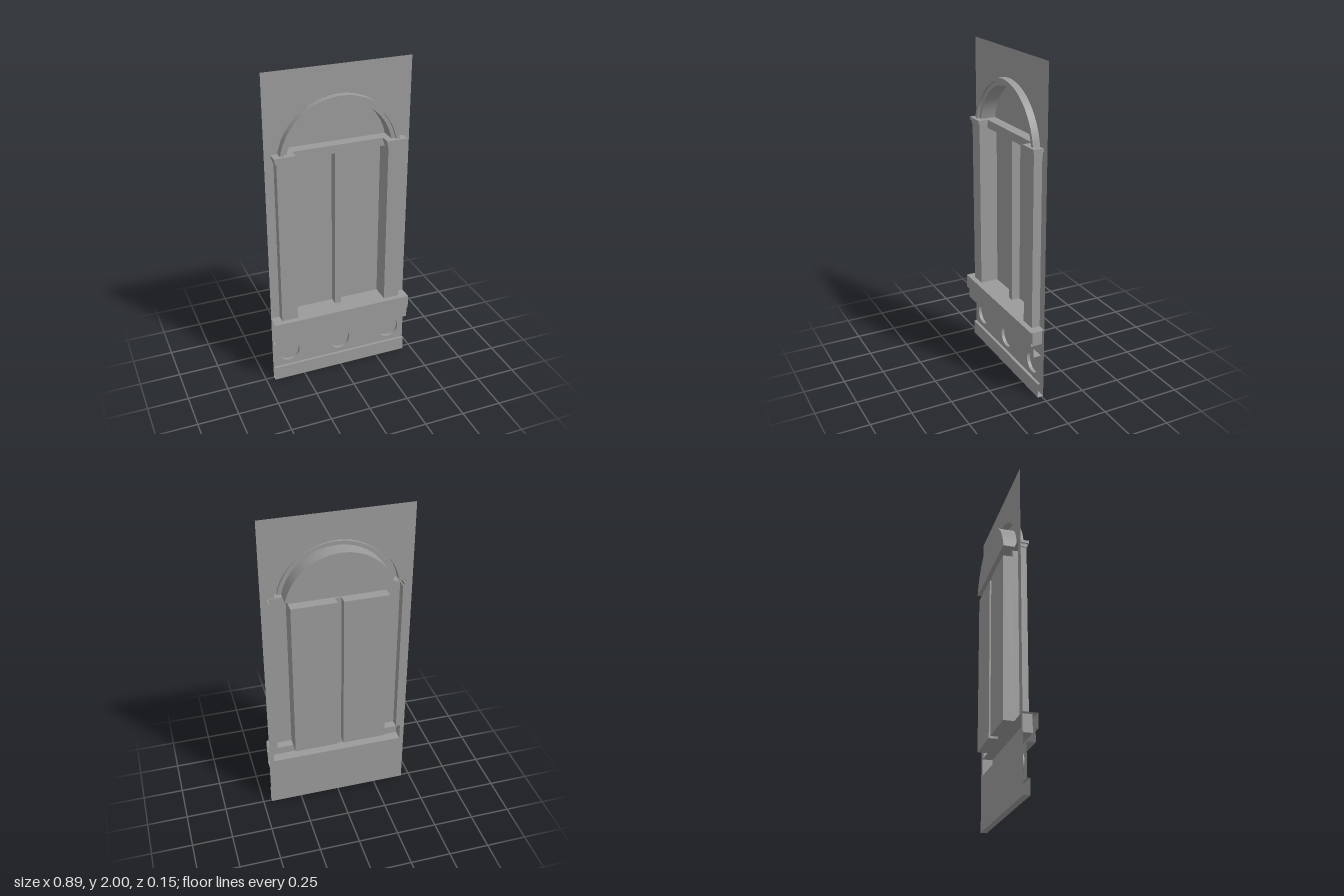
import * as THREE from 'three';
import { toCreasedNormals } from 'three/addons/utils/BufferGeometryUtils.js';

const W = 0.445;      // half width of the panel
const BACK = -0.01;   // wall plane
const SILL = 0.445;   // top of the lower ledge
const HEAD = 1.475;   // top of the door recess
const NECK = 1.485;   // foot of the capitals
const SLAB = 1.507;   // underside of the capital slabs
const SPRING = 1.525; // foot of the arch
const ARCH_Y = 1.46;  // centre of the arch circles

const material = new THREE.MeshStandardMaterial({ color: 0x9a9a9a, side: THREE.DoubleSide });

// Surface through a list of open cross-sections
function loft(rings) {
  const pos = [];
  for (let r = 0; r < rings.length - 1; r++) {
    const A = rings[r], B = rings[r + 1];
    for (let i = 0; i < A.length - 1; i++) {
      pos.push(...A[i], ...A[i + 1], ...B[i + 1], ...A[i], ...B[i + 1], ...B[i]);
    }
  }
  const g = new THREE.BufferGeometry();
  g.setAttribute('position', new THREE.Float32BufferAttribute(pos, 3));
  g.computeVertexNormals();
  return toCreasedNormals(g, 0.5);
}

// Plan outline [x, z] raised from y0 to y1
const upright = (plan, y0, y1) => loft([y0, y1].map(y => plan.map(([x, z]) => [x, y, z])));
// Section [z, y] run across the full width
const across = section => loft([-W, W].map(x => section.map(([z, y]) => [x, y, z])));
// Three-sided plan, open to the back
const bay = (x0, x1, z) => [[x0, BACK], [x0, z], [x1, z], [x1, BACK]];

const polygon = pts => new THREE.Shape(pts.map(p => new THREE.Vector2(...p)));
const rect = (x0, y0, x1, y1) => polygon([[x0, y0], [x1, y0], [x1, y1], [x0, y1]]);

// Angle at which a circle of radius r meets the springing line
const footAngle = r => Math.asin((SPRING - ARCH_Y) / r);
function archShape(r) {
  const s = new THREE.Shape();
  const a = footAngle(r);
  s.absarc(0, ARCH_Y, r, a, Math.PI - a, false);
  s.closePath();
  return s;
}

export function createModel() {
  const group = new THREE.Group();
  const add = (name, geometry, x = 0, y = 0, z = 0) => {
    const m = new THREE.Mesh(geometry, material);
    m.name = name;
    m.position.set(x, y, z);
    group.add(m);
  };
  // Level plate covering a plan outline [x, z]
  const plate = (name, plan, y) => {
    const g = new THREE.ShapeGeometry(polygon(plan.map(([x, z]) => [x, -z])));
    add(name, g.rotateX(-Math.PI / 2), 0, y, 0);
  };

  // Wall, open behind the hollow arch, capitals, pilasters, doors and pedestal
  const top = SPRING - 0.001;
  const rightEdge = [
    [0.418, 0.34], [0.418, SILL], [0.39, SILL], [0.39, NECK], [0.397, NECK], [0.397, SLAB], [0.406, SLAB],
    [0.406, top], [0.278, top], [0.278, SLAB], [0.285, SLAB], [0.285, NECK], [0.29, NECK], [0.29, HEAD],
  ];
  const leftEdge = rightEdge.map(([x, y]) => [-x, y]).reverse();
  const wall = rect(-W, 0, W, 2);
  wall.holes.push(archShape(0.371), polygon([...rightEdge, ...leftEdge]));
  add('wall', new THREE.ShapeGeometry(wall, 24), 0, 0, BACK);

  // Stepped arch moulding running back into the niche
  const section = [[0.371, BACK], [0.371, 0.034], [0.349, 0.034], [0.349, 0.017], [0.326, 0.017], [0.326, -0.078]];
  const rings = [];
  const steps = 32;
  for (let i = 0; i <= steps; i++) {
    rings.push(section.map(([r, z]) => {
      const a = footAngle(r);
      const t = Math.PI - a - (i / steps) * (Math.PI - 2 * a);
      return [r * Math.cos(t), ARCH_Y + r * Math.sin(t), z];
    }));
  }
  add('archMoulding', loft(rings));
  add('nicheBack', new THREE.ShapeGeometry(archShape(0.326), 24), 0, 0, -0.078);
  plate('nicheSill', [[-0.319, -0.078], [0.319, -0.078], [0.319, BACK], [-0.319, BACK]], SPRING);

  // Door recess with a hollow centre mullion
  const doorPlan = [
    [-0.29, BACK], [-0.29, -0.073], [-0.019, -0.073], [-0.019, -0.02],
    [0.019, -0.02], [0.019, -0.073], [0.29, -0.073], [0.29, BACK],
  ];
  add('doorRecess', upright(doorPlan, SILL, HEAD));
  plate('doorHead', doorPlan, HEAD);
  plate('doorSill', doorPlan, SILL);

  // Hollow pilasters with two-step capitals
  for (const s of [-1, 1]) {
    const plan = (inner, outer, z) => s > 0 ? bay(inner, outer, z) : bay(-outer, -inner, z);
    const shaft = plan(0.29, 0.39, 0.042);
    const neck = plan(0.285, 0.397, 0.046);
    const slab = plan(0.278, 0.406, 0.053);
    add('pilaster', upright(shaft, SILL, NECK));
    add('capitalNeck', upright(neck, NECK, SLAB));
    add('capitalSlab', upright(slab, SLAB, SPRING));
    plate('neckUnderside', [...neck, ...shaft.slice().reverse()], NECK);
    plate('slabUnderside', [...slab, ...neck.slice().reverse()], SLAB);
    plate('slabTop', slab, SPRING);
  }

  // Hollow pedestal behind the ledge
  const pedestalPlan = bay(-0.418, 0.418, 0.053);
  add('pedestal', upright(pedestalPlan, 0.34, SILL));
  plate('pedestalFloor', pedestalPlan, 0.34);

  // Open-ended ledge and base mouldings
  add('ledge', across([[BACK, SILL], [0.076, SILL], [0.076, 0.358], [0.06, 0.358], [0.06, 0.282], [0.01, 0.282]]));
  add('base', across([[0.01, 0.09], [0.027, 0.09], [0.027, 0], [BACK, 0]]));

  // Lower panel with three round sinkings
  const panel = rect(-W, 0.09, W, 0.282);
  for (const x of [-0.34, 0, 0.343]) {
    const hole = new THREE.Path();
    hole.absarc(x, 0.185, 0.066, 0, Math.PI * 2, true);
    panel.holes.push(hole);
    const rim = new THREE.CylinderGeometry(0.066, 0.066, 0.02, 32, 1, true).rotateX(Math.PI / 2);
    add('roundelRim', rim, x, 0.185, 0);
  }
  add('lowerPanel', new THREE.ShapeGeometry(panel, 16), 0, 0, 0.01);

  return group;
}
